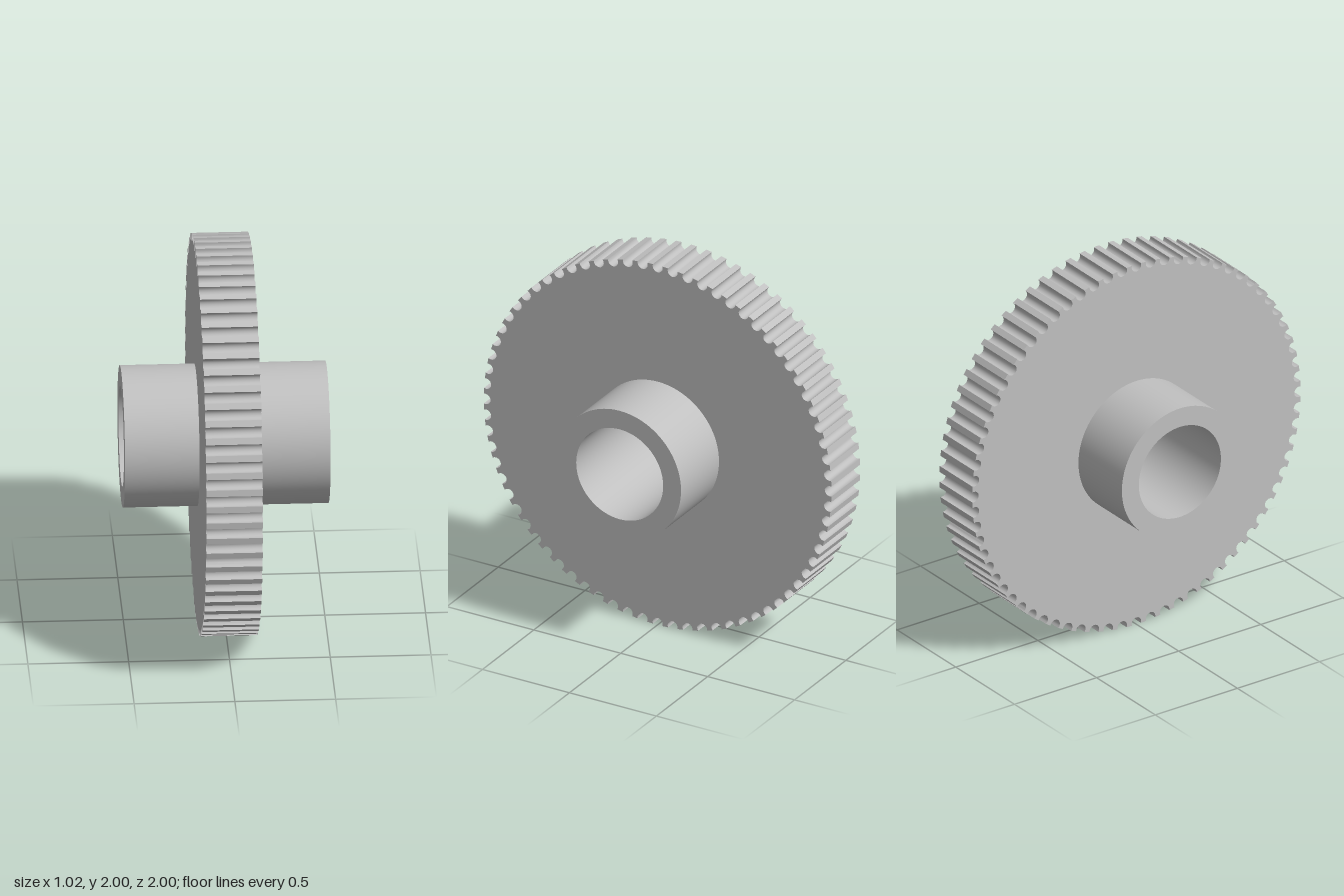
import * as THREE from 'three';
import { toCreasedNormals } from 'three/addons/utils/BufferGeometryUtils.js';

const GROOVES = 72, RADIUS = 1, HALF_WIDTH = 0.14;
const GROOVE_RADIUS = 0.029, GROOVE_CENTRE = 0.99, GROOVE_STEPS = 10;
const HUB_RADIUS = 0.353, BORE_RADIUS = 0.25, HUB_HALF_LENGTH = 0.51;

// Disc outline with round grooves cut into the rim
function wheelShape() {
  const points = [];
  // angle at which the groove circle meets the rim
  const rise = (RADIUS ** 2 - GROOVE_CENTRE ** 2 - GROOVE_RADIUS ** 2) / (2 * GROOVE_CENTRE);
  const sweep = Math.PI / 2 + Math.asin(rise / GROOVE_RADIUS);
  for (let i = 0; i < GROOVES; i++) {
    const a = (i / GROOVES) * Math.PI * 2;
    for (let j = 0; j <= GROOVE_STEPS; j++) {
      const phi = sweep * ((2 * j) / GROOVE_STEPS - 1);
      const p = new THREE.Vector2(
        GROOVE_CENTRE - GROOVE_RADIUS * Math.cos(phi),
        GROOVE_RADIUS * Math.sin(phi)
      );
      points.push(p.rotateAround(new THREE.Vector2(), a));
    }
  }
  const shape = new THREE.Shape(points);
  const hole = new THREE.Path();
  hole.absarc(0, 0, (HUB_RADIUS + BORE_RADIUS) / 2, 0, Math.PI * 2, true);
  shape.holes.push(hole);
  return shape;
}

export function createModel() {
  const group = new THREE.Group();
  const metal = new THREE.MeshStandardMaterial({ color: 0xc0c0c0 });
  metal.name = 'grey metal';

  // Toothed wheel, axis along x
  const wheelGeometry = new THREE.ExtrudeGeometry(wheelShape(), {
    depth: HALF_WIDTH * 2, bevelEnabled: false, curveSegments: 24,
  });
  wheelGeometry.translate(0, 0, -HALF_WIDTH);
  wheelGeometry.rotateY(Math.PI / 2);
  const wheel = new THREE.Mesh(toCreasedNormals(wheelGeometry, 0.5), metal);
  wheel.name = 'toothedWheel';

  // Hollow hub running through the wheel
  const profile = [
    [HUB_RADIUS, -HUB_HALF_LENGTH], [HUB_RADIUS, HUB_HALF_LENGTH],
    [BORE_RADIUS, HUB_HALF_LENGTH], [BORE_RADIUS, -HUB_HALF_LENGTH],
    [HUB_RADIUS, -HUB_HALF_LENGTH],
  ].map(([r, y]) => new THREE.Vector2(r, y));
  const hubGeometry = new THREE.LatheGeometry(profile, 96);
  hubGeometry.rotateZ(Math.PI / 2);
  const hub = new THREE.Mesh(toCreasedNormals(hubGeometry, 0.5), metal);
  hub.name = 'hub';

  wheel.position.y = hub.position.y = RADIUS;
  group.add(wheel, hub);
  return group;
}
